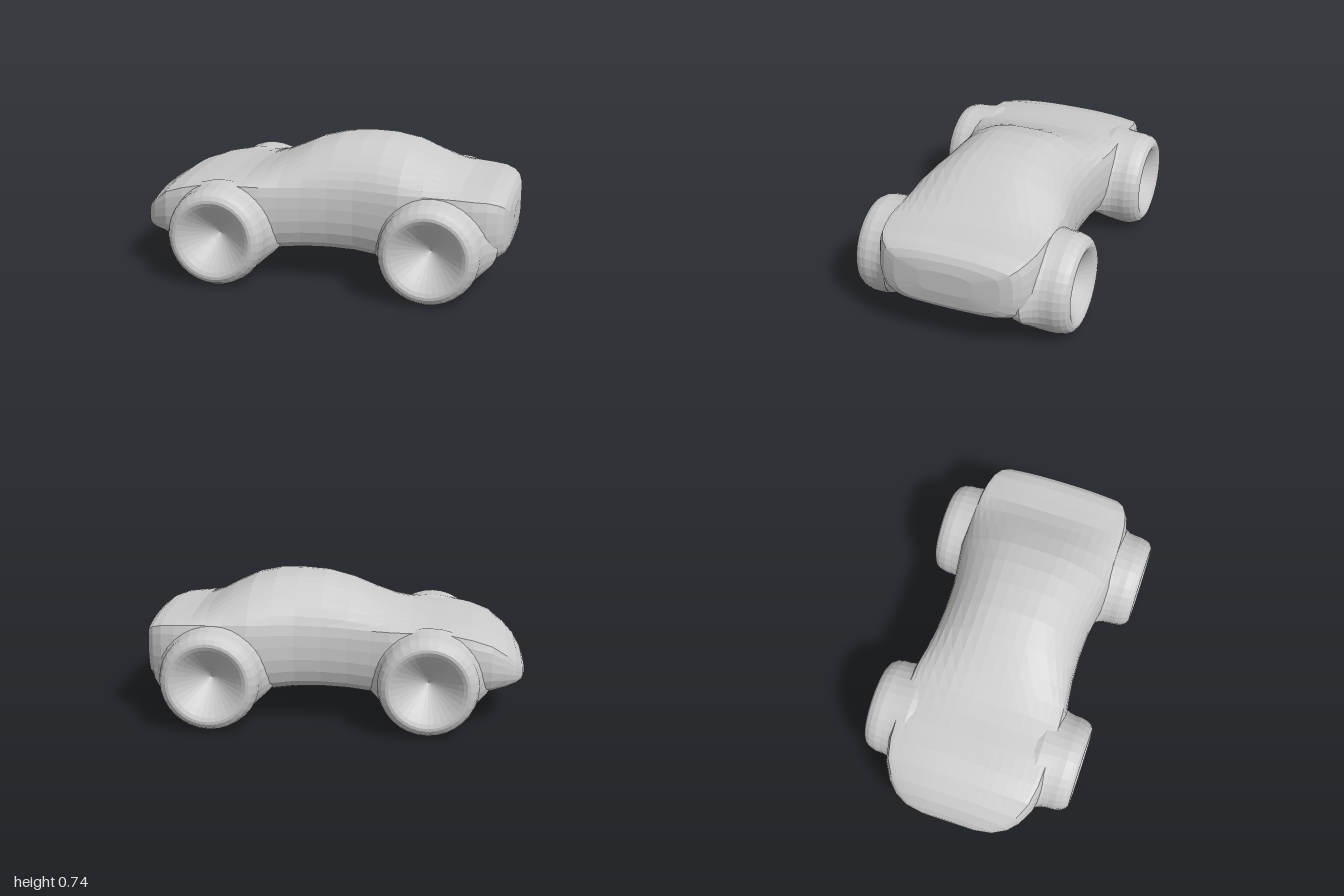
import * as THREE from 'three';

const material = new THREE.MeshStandardMaterial({ color: 0xcccccc, flatShading: true });

// Body stations, nose to tail: x, half width, bottom, shoulder and top heights
const STATIONS = [
  [-1, 0.15, 0.235, 0.262, 0.275], [-0.985, 0.24, 0.218, 0.285, 0.315],
  [-0.95, 0.31, 0.203, 0.33, 0.375], [-0.9, 0.36, 0.19, 0.38, 0.425],
  [-0.82, 0.405, 0.17, 0.44, 0.475], [-0.72, 0.425, 0.145, 0.475, 0.507],
  [-0.6, 0.43, 0.11, 0.5, 0.523], [-0.5, 0.43, 0.1, 0.505, 0.533],
  [-0.4, 0.43, 0.105, 0.505, 0.55], [-0.3, 0.425, 0.125, 0.505, 0.585],
  [-0.2, 0.408, 0.143, 0.505, 0.632], [-0.08, 0.393, 0.155, 0.51, 0.69],
  [0.06, 0.386, 0.16, 0.515, 0.729], [0.2, 0.39, 0.157, 0.52, 0.74],
  [0.32, 0.408, 0.145, 0.52, 0.735], [0.44, 0.428, 0.115, 0.52, 0.708],
  [0.56, 0.43, 0.097, 0.52, 0.65], [0.66, 0.43, 0.097, 0.52, 0.592],
  [0.74, 0.428, 0.115, 0.52, 0.557], [0.82, 0.42, 0.14, 0.515, 0.548],
  [0.89, 0.402, 0.165, 0.51, 0.544], [0.94, 0.375, 0.185, 0.495, 0.532],
  [0.97, 0.34, 0.205, 0.475, 0.51], [0.988, 0.28, 0.235, 0.445, 0.48],
  [1, 0.14, 0.31, 0.41, 0.43],
];

// Half section: [width fraction, height fraction], below and above the shoulder
const LOWER = [[0, 0], [0.45, 0.01], [0.75, 0.05], [0.93, 0.18], [1, 0.45], [1, 0.75], [0.96, 1]];
const UPPER = [[0.87, 0.32], [0.72, 0.6], [0.49, 0.86], [0.26, 0.975], [0, 1]];

function section([x, w, bottom, shoulder, top]) {
  const half = [
    ...LOWER.map(([f, h]) => [f * w, bottom + h * (shoulder - bottom)]),
    ...UPPER.map(([f, h]) => [f * w, shoulder + h * (top - shoulder)]),
  ];
  const curve = new THREE.SplineCurve(half.map(([z, y]) => new THREE.Vector2(z, y)));
  const side = curve.getPoints(18);
  const mirrored = side.slice(1, -1).reverse().map((p) => new THREE.Vector2(-p.x, p.y));
  return [...side, ...mirrored].map((p) => [x, p.y, p.x]);
}

function bodyGeometry() {
  const rings = STATIONS.map(section);
  const n = rings[0].length;
  const last = rings.length - 1;
  const positions = rings.flat(2);
  const index = [];
  for (let i = 0; i < last; i++) {
    for (let j = 0; j < n; j++) {
      const k = (j + 1) % n;
      const a = i * n + j, b = a + n, c = (i + 1) * n + k, d = i * n + k;
      index.push(a, b, c, a, c, d);
    }
  }
  // Nose and tail caps
  const nose = rings.length * n, tail = nose + 1;
  positions.push(-1, 0.255, 0, 1, 0.37, 0);
  for (let j = 0; j < n; j++) {
    const k = (j + 1) % n;
    index.push(nose, j, k, tail, last * n + k, last * n + j);
  }
  const geometry = new THREE.BufferGeometry();
  geometry.setAttribute('position', new THREE.Float32BufferAttribute(positions, 3));
  geometry.setIndex(index);
  geometry.computeVertexNormals();
  return geometry;
}

// Wheel: lathed tyre with a dished hub, its inner end flaring into the body
function wheelGeometry() {
  const profile = [
    [0.2, 0.26], [0.25, 0.32], [0.26, 0.36], [0.26, 0.385], [0.26, 0.41], [0.26, 0.435],
    [0.26, 0.47], [0.259, 0.505], [0.25, 0.54], [0.236, 0.563], [0.215, 0.576], [0.2, 0.577],
    [0.18, 0.568], [0.15, 0.546], [0.115, 0.517], [0.08, 0.487], [0.04, 0.455], [0, 0.43],
  ].map(([r, z]) => new THREE.Vector2(r, z));
  const geometry = new THREE.LatheGeometry(profile, 32).rotateX(Math.PI / 2);
  const p = geometry.attributes.position;
  for (let i = 0; i < p.count; i++) {
    const z = p.getZ(i), y = p.getY(i);
    if (Math.hypot(p.getX(i), y) < 0.19) continue;
    const t = THREE.MathUtils.clamp((0.47 - z) / 0.12, 0, 1);
    p.setX(i, p.getX(i) * (1 + 0.3 * t * t));
    p.setY(i, y * (y > 0 ? 1 + 0.03 * t : 1 - 0.3 * t * t));
  }
  geometry.computeVertexNormals();
  return geometry;
}

export function createModel() {
  const car = new THREE.Group();
  car.name = 'car';

  const body = new THREE.Mesh(bodyGeometry(), material);
  body.name = 'body';
  car.add(body);

  const wheelShape = wheelGeometry();
  for (const [axle, x] of [['noseWheel', -0.5], ['tailWheel', 0.62]]) {
    for (const [side, angle] of [['Front', 0], ['Back', Math.PI]]) {
      const wheel = new THREE.Mesh(wheelShape, material);
      wheel.name = axle + side;
      wheel.position.set(x, 0.26, 0);
      wheel.rotation.y = angle;
      car.add(wheel);
    }
  }
  return car;
}
